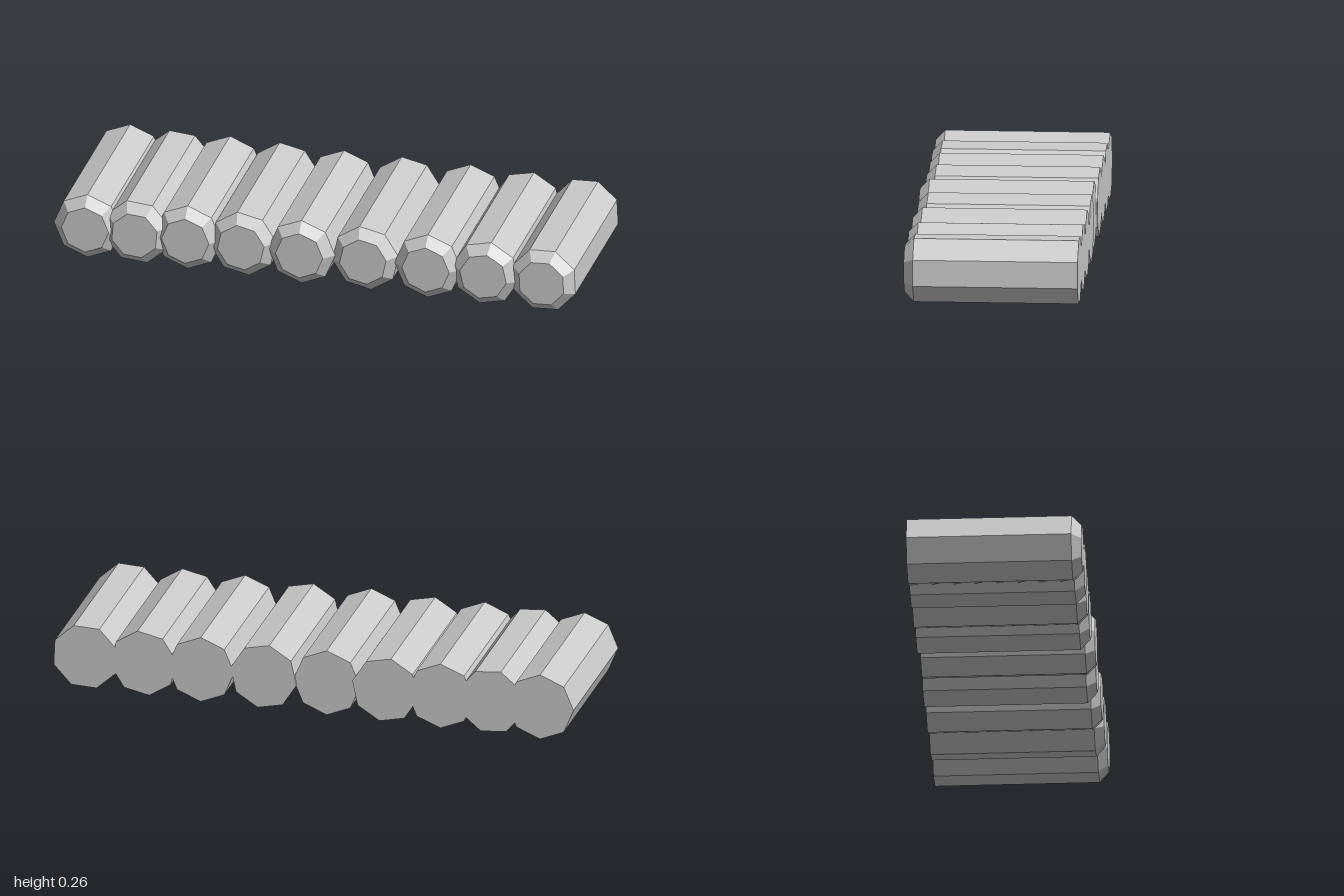
import * as THREE from 'three';

const RADIUS = 0.129, FACE_RADIUS = 0.091, BEVEL = 0.036;

// [centre x, roll in degrees (counter-clockwise from the front), back z, front z]
const LOGS = [
  [-0.872, 0, -0.327, 0.322],
  [-0.682, 17.5, -0.327, 0.322],
  [-0.488, 0, -0.327, 0.318],
  [-0.275, 10, -0.327, 0.317],
  [-0.048, 0, -0.321, 0.327],
  [0.194, 10, -0.327, 0.317],
  [0.436, 0, -0.327, 0.322],
  [0.657, -10, -0.327, 0.322],
  [0.881, 25, -0.327, 0.322],
];

// Octagonal log along z, flat at the back and bevelled at the front
function logGeometry(back, front) {
  const profile = [
    [0, back], [RADIUS, back], [RADIUS, front - BEVEL], [FACE_RADIUS, front], [0, front],
  ].map(([r, z]) => new THREE.Vector2(r, z));
  return new THREE.LatheGeometry(profile, 8).rotateX(Math.PI / 2);
}

export function createModel() {
  const group = new THREE.Group();
  group.name = 'logRow';
  const material = new THREE.MeshStandardMaterial({ color: 0xcccccc, flatShading: true });

  // Row of logs laid side by side
  LOGS.forEach(([x, roll, back, front], i) => {
    const log = new THREE.Mesh(logGeometry(back, front), material);
    log.name = `log${i + 1}`;
    log.position.set(x, RADIUS, 0);
    log.rotation.z = THREE.MathUtils.degToRad(roll);
    group.add(log);
  });
  return group;
}
